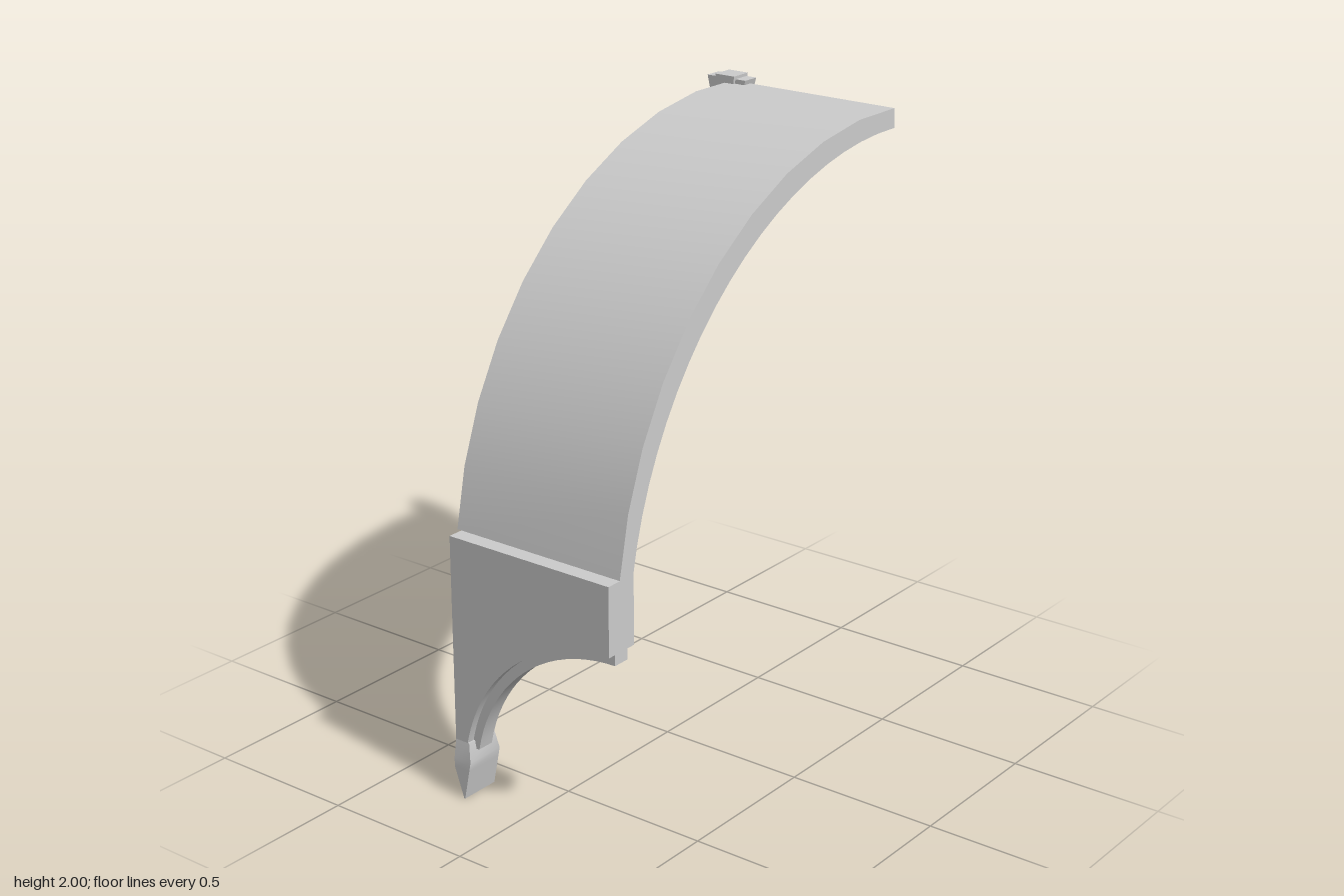
import * as THREE from 'three';
import { toCreasedNormals } from 'three/addons/utils/BufferGeometryUtils.js';

const material = new THREE.MeshStandardMaterial({ color: 0xcccccc, side: THREE.DoubleSide });

function addPart(group, name, geometry) {
  const mesh = new THREE.Mesh(toCreasedNormals(geometry, 0.45), material);
  mesh.name = name;
  group.add(mesh);
}

// Points of an arc; angles in degrees measured from straight up
function arc(cx, cy, r, from, to, steps) {
  return Array.from({ length: steps + 1 }, (_, i) => {
    const a = THREE.MathUtils.degToRad(from + ((to - from) * i) / steps);
    return new THREE.Vector2(cx + r * Math.sin(a), cy + r * Math.cos(a));
  });
}

// Side profile (z, y) extruded across x
function acrossX(points, x0, x1) {
  const g = new THREE.ExtrudeGeometry(new THREE.Shape(points), { depth: x1 - x0, bevelEnabled: false });
  return g.rotateY(-Math.PI / 2).translate(x1, 0, 0);
}

// Front profile (x, y) extruded along z
function alongZ(points, z0, z1) {
  const shape = new THREE.Shape(points.map((p) => new THREE.Vector2(p.x ?? p[0], p.y ?? p[1])));
  return new THREE.ExtrudeGeometry(shape, { depth: z1 - z0, bevelEnabled: false }).translate(0, 0, z0);
}

// Stack of rectangles [y, x0, x1, z0, z1], bottom to top, joined into a closed solid
function loft(sections) {
  const pos = [], index = [];
  for (const [y, x0, x1, z0, z1] of sections) pos.push(x0, y, z1, x1, y, z1, x1, y, z0, x0, y, z0);
  const last = (sections.length - 1) * 4;
  for (let s = 0; s < last; s += 4) {
    for (let i = 0; i < 4; i++) {
      const a = s + i, b = s + ((i + 1) % 4);
      index.push(a, b, b + 4, a, b + 4, a + 4);
    }
  }
  index.push(0, 2, 1, 0, 3, 2, last, last + 1, last + 2, last, last + 2, last + 3);
  const g = new THREE.BufferGeometry();
  g.setAttribute('position', new THREE.Float32BufferAttribute(pos, 3));
  g.setIndex(index);
  g.computeVertexNormals();
  return g;
}

export function createModel() {
  const model = new THREE.Group();
  model.name = 'archedVault';

  // Curved vault shell, slightly thicker mid-span
  const shell = [
    ...arc(-0.6, 0.7, 1.279, -4.35, 82.65, 10),
    ...arc(-0.655, 0.63, 1.283, 80, -2, 20),
  ];
  addPart(model, 'vaultShell', acrossX(shell, -0.275, 0.345));

  // Thin rib following the inside edge
  const rib = [
    ...arc(-0.66, 0.62, 1.285, -2, 90.4, 24),
    ...arc(-0.66, 0.62, 1.245, 90.4, -2, 24),
  ];
  addPart(model, 'edgeRib', acrossX(rib, -0.305, -0.25));

  // Front panel: two outer faces and a middle tongue hanging lower in the arch
  const panel = (r, cy, end) => [
    [-0.26, 0.863], [-0.26, 0.15], ...arc(0.345, cy, r, end, 0, 20), [0.345, 0.863],
  ];
  const face = panel(0.571, 0.069, -80);
  addPart(model, 'panelBack', alongZ(face, 0.605, 0.636));
  addPart(model, 'panelFront', alongZ(face, 0.693, 0.72));
  addPart(model, 'panelTongue', alongZ(panel(0.545, 0.06, -79), 0.636, 0.693));

  // Pointed foot at the end of the panel
  addPart(model, 'foot', loft([
    [0, -0.225, -0.221, 0.595, 0.73],
    [0.1, -0.26, -0.201, 0.595, 0.73],
    [0.13, -0.26, -0.195, 0.595, 0.73],
    [0.19, -0.26, -0.207, 0.605, 0.72],
  ]));

  // Keystone at the crown of the rib: wide wedge with a raised centre
  addPart(model, 'keystoneWedge', loft([
    [1.865, -0.32, -0.235, -0.724, -0.664],
    [1.99, -0.35, -0.2, -0.724, -0.664],
  ]));
  addPart(model, 'keystoneCentre', loft([
    [1.857, -0.3, -0.25, -0.73, -0.655],
    [2.0, -0.312, -0.238, -0.73, -0.655],
  ]));

  return model;
}
